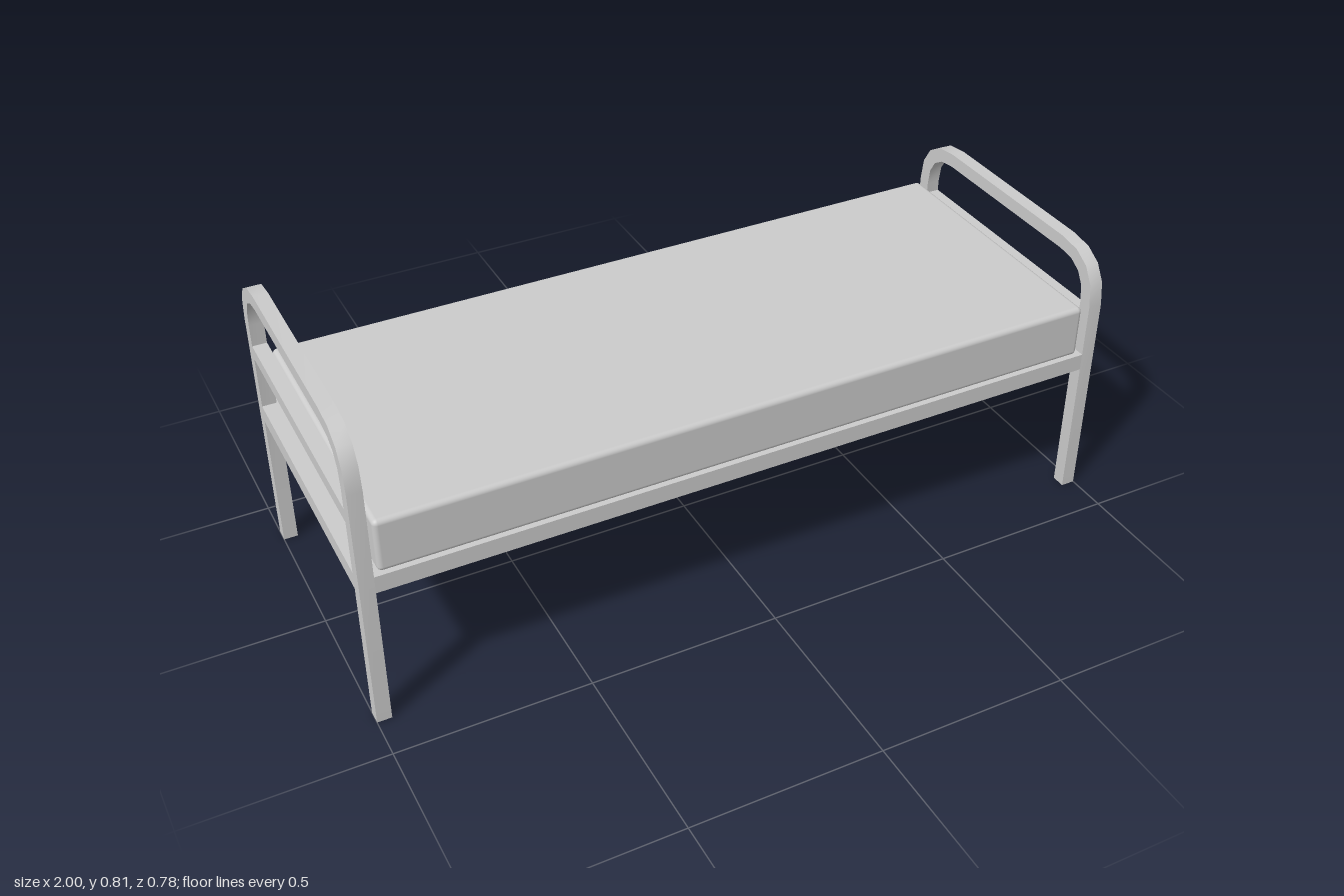
import * as THREE from 'three';
import { toCreasedNormals } from 'three/addons/utils/BufferGeometryUtils.js';
import { RoundedBoxGeometry } from 'three/addons/geometries/RoundedBoxGeometry.js';

const TUBE = 0.037;      // side of the square tubing
const HALF_W = 0.39;     // half width of the bed
const BEND_IN = 0.25;    // z where the bend meets the straight top
const FRAME_Y = 0.384, MATTRESS_Y = 0.43, MATTRESS_TOP = 0.573;

export function createModel() {
  const material = new THREE.MeshStandardMaterial({ color: 0xcccccc });
  const bed = new THREE.Group();
  bed.name = 'bed';

  const add = (parent, name, geometry, x, y, z) => {
    const mesh = new THREE.Mesh(geometry, material);
    mesh.name = name;
    mesh.position.set(x, y, z);
    parent.add(mesh);
  };

  // Two legs joined by a bent top, as one square tube
  const hoopGeometry = (height) => {
    const inner = HALF_W - TUBE, low = height - TUBE, bendY = height - 0.14;
    const s = new THREE.Shape();
    s.moveTo(HALF_W, 0);
    s.lineTo(HALF_W, bendY);
    s.quadraticCurveTo(HALF_W, height, BEND_IN, height);
    s.lineTo(-BEND_IN, height);
    s.quadraticCurveTo(-HALF_W, height, -HALF_W, bendY);
    s.lineTo(-HALF_W, 0);
    s.lineTo(-inner, 0);
    s.lineTo(-inner, bendY);
    s.quadraticCurveTo(-inner, low, -BEND_IN, low);
    s.lineTo(BEND_IN, low);
    s.quadraticCurveTo(inner, low, inner, bendY);
    s.lineTo(inner, 0);
    s.closePath();
    const g = new THREE.ExtrudeGeometry(s, { depth: TUBE, bevelEnabled: false, curveSegments: 4 });
    g.translate(0, 0, -TUBE / 2).rotateY(Math.PI / 2);
    return toCreasedNormals(g, 0.6);
  };

  // Head end is taller than the foot end; each has one cross bar
  const ends = [
    { name: 'headEnd', side: -1, height: 0.81, barTop: 0.61 },
    { name: 'footEnd', side: 1, height: 0.715, barTop: 0.545 },
  ];
  for (const { name, side, height, barTop } of ends) {
    const end = new THREE.Group();
    end.name = name;
    end.position.x = side * (1 - TUBE / 2);
    add(end, 'hoop', hoopGeometry(height), 0, 0, 0);
    add(end, 'crossBar', new THREE.BoxGeometry(TUBE, TUBE, 2 * (HALF_W - TUBE)), 0, barTop - TUBE / 2, 0);
    bed.add(end);
  }

  // Flat frame, flush with the outside of the legs
  add(bed, 'frame', new THREE.BoxGeometry(2, MATTRESS_Y - FRAME_Y, 2 * HALF_W),
    0, (FRAME_Y + MATTRESS_Y) / 2, 0);

  // Mattress with softly rounded edges
  const thickness = MATTRESS_TOP - MATTRESS_Y;
  add(bed, 'mattress', new RoundedBoxGeometry(1.9, thickness, 0.765, 4, 0.013),
    0, MATTRESS_Y + thickness / 2, 0);

  return bed;
}
